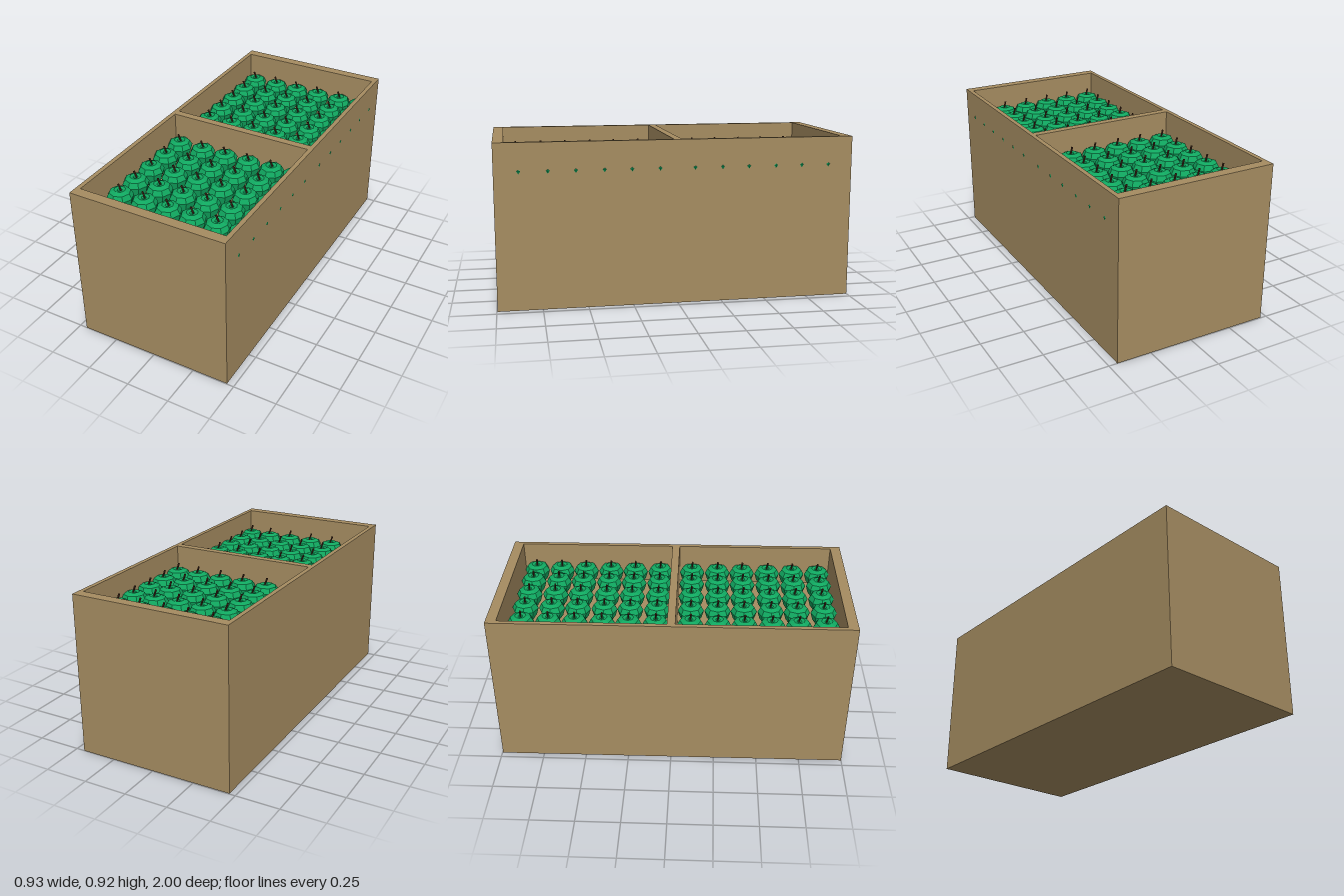
import * as THREE from 'three';

const wood = new THREE.MeshStandardMaterial({ color: 0xa58c61 });
wood.name = 'crate wood';
const green = new THREE.MeshStandardMaterial({ color: 0x10a860, flatShading: true });
green.name = 'apple green';
const brown = new THREE.MeshStandardMaterial({ color: 0x4a2c1c, flatShading: true });
brown.name = 'stem brown';

const HALF_W = 0.4575, HEIGHT = 0.92, FLOOR = 0.68;

// Box given by its lower and upper limits on each axis
function board(name, x0, x1, y0, y1, z0, z1) {
  const mesh = new THREE.Mesh(new THREE.BoxGeometry(x1 - x0, y1 - y0, z1 - z0), wood);
  mesh.position.set((x0 + x1) / 2, (y0 + y1) / 2, (z0 + z1) / 2);
  mesh.name = name;
  return mesh;
}

function buildCrate() {
  const crate = new THREE.Group();
  crate.name = 'crate';
  const inner = HALF_W - 0.026;
  crate.add(
    board('frontWall', -HALF_W, HALF_W, 0, HEIGHT, 0.94, 0.998),
    board('backWall', -HALF_W, HALF_W, 0, HEIGHT, -0.998, -0.94),
    board('leftWall', inner, HALF_W, 0, HEIGHT, -0.94, 0.94),
    board('rightWall', -HALF_W, -inner, 0, HEIGHT, -0.94, 0.94),
    board('divider', -inner, inner, FLOOR, HEIGHT, -0.022, 0.022),
    board('tray', -inner, inner, FLOOR - 0.03, FLOOR, -0.94, 0.94),
    board('bottom', -inner, inner, 0, 0.03, -0.94, 0.94)
  );
  return crate;
}

// Eight-sided apple, with its widest ring at y = 0
const appleGeometry = new THREE.LatheGeometry([
  [0, -0.075], [0.034, -0.085], [0.062, -0.045], [0.0755, 0],
  [0.06, 0.03], [0.032, 0.042], [0.014, 0.038], [0, 0.022]
].map(([r, y]) => new THREE.Vector2(r, y)), 8);
const stemGeometry = new THREE.CylinderGeometry(0.006, 0.004, 0.055, 5);

function buildApple() {
  const apple = new THREE.Group();
  apple.name = 'apple';
  const body = new THREE.Mesh(appleGeometry, green);
  body.name = 'appleBody';
  const stem = new THREE.Mesh(stemGeometry, brown);
  stem.name = 'stem';
  stem.position.set(0.002, 0.048, 0);
  stem.rotation.set(0.1, 0, 0.3);
  apple.add(body, stem);
  return apple;
}

export function createModel() {
  const model = new THREE.Group();
  model.name = 'appleCrate';

  // The whole crate sits a hair off square
  const body = new THREE.Group();
  body.name = 'filledCrate';
  body.position.x = -0.003;
  body.rotation.y = 0.004;
  body.add(buildCrate());

  // Six by six apples in each half
  const columns = [-0.357, -0.202, -0.052, 0.098, 0.248, 0.3865];
  const rows = [0.1, 0.255, 0.405, 0.56, 0.71, 0.865];
  for (const side of [1, -1]) {
    const half = new THREE.Group();
    half.name = side > 0 ? 'frontApples' : 'backApples';
    for (const z of rows) {
      for (const x of columns) {
        const apple = buildApple();
        apple.position.set(x, 0.765, side * z + (side < 0 ? 0.005 : 0));
        half.add(apple);
      }
    }
    body.add(half);
  }
  model.add(body);
  return model;
}
